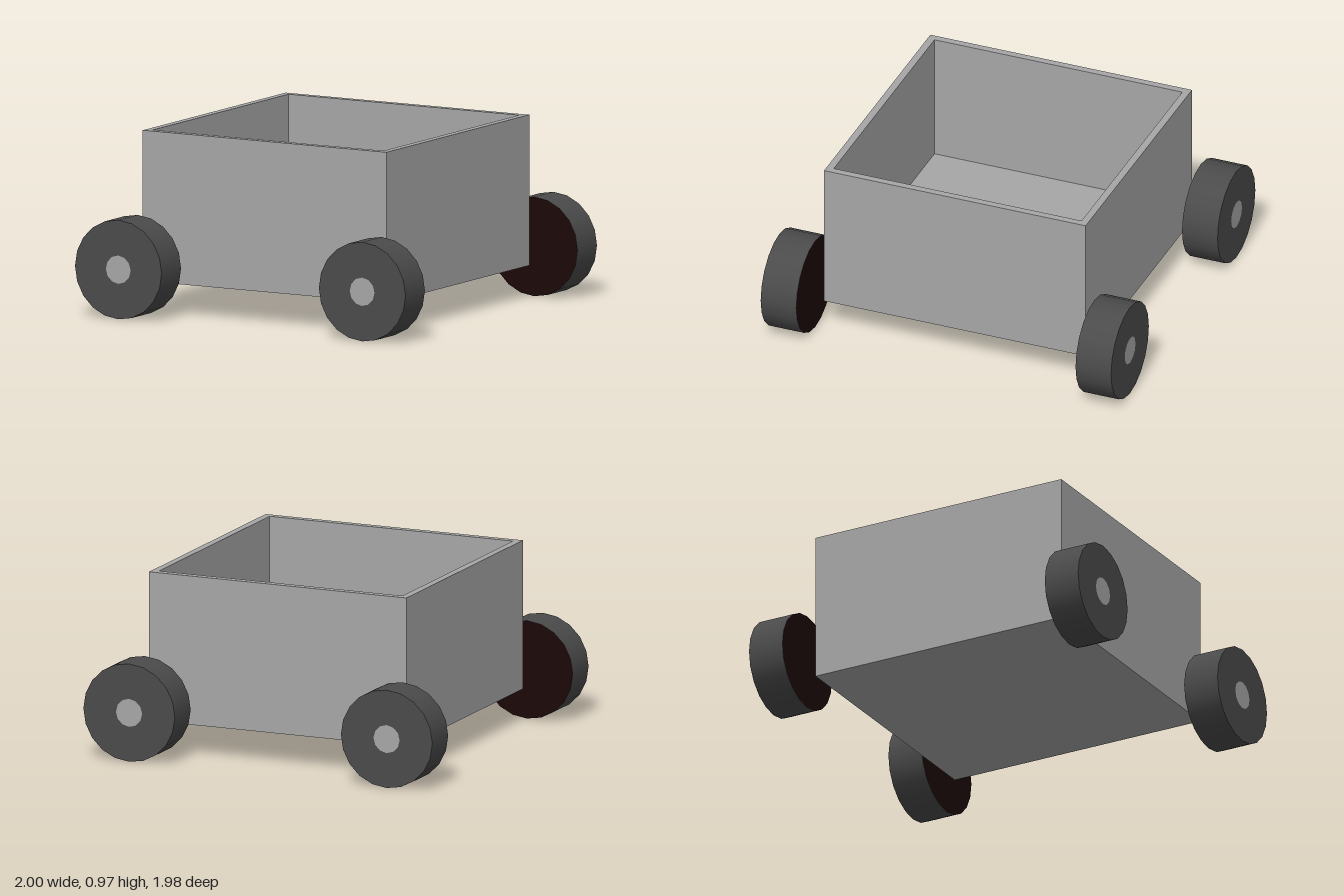
import * as THREE from 'three';

export function createModel() {
  const model = new THREE.Group();
  const grey = new THREE.MeshStandardMaterial({ name: 'body grey', color: 0xa7a7a7 });
  const rubber = new THREE.MeshStandardMaterial({ name: 'tyre charcoal', color: 0x4b4b4b });
  const brown = new THREE.MeshStandardMaterial({ name: 'inner wheel dark brown', color: 0x1c0808 });

  const add = (parent, name, geometry, material, x = 0, y = 0, z = 0) => {
    const mesh = new THREE.Mesh(geometry, material);
    mesh.name = name;
    mesh.position.set(x, y, z);
    parent.add(mesh);
    return mesh;
  };

  // Open-topped tub: a square ring of walls around a thick floor
  const half = 0.737, inner = 0.698, bottom = 0.169, top = 0.965, floor = 0.1;
  const square = (PathType, h) => new PathType().setFromPoints(
    [[-h, -h], [h, -h], [h, h], [-h, h]].map(([x, y]) => new THREE.Vector2(x, y)));
  const outline = square(THREE.Shape, half);
  outline.closePath();
  const opening = square(THREE.Path, inner);
  opening.closePath();
  outline.holes.push(opening);
  const walls = new THREE.ExtrudeGeometry(outline, { depth: top - bottom, bevelEnabled: false });
  walls.rotateX(-Math.PI / 2);
  add(model, 'tubWalls', walls, grey, 0, bottom, 0);
  add(model, 'tubFloor', new THREE.BoxGeometry(inner * 2, floor, inner * 2), grey, 0, bottom + floor / 2, 0);

  // Four wheels, outer face along local +z
  const radius = 0.262, width = 0.2;
  const tyre = new THREE.CylinderGeometry(radius, radius, width, 20).rotateX(Math.PI / 2);
  const hub = new THREE.CircleGeometry(0.075, 12);
  const backing = new THREE.CircleGeometry(radius, 20).rotateY(Math.PI);
  for (const side of [1, -1]) {
    for (const x of [-0.738, 0.738]) {
      const wheel = new THREE.Group();
      wheel.name = (side > 0 ? 'front' : 'back') + (x > 0 ? 'Left' : 'Right') + 'Wheel';
      add(wheel, 'tyre', tyre, rubber);
      add(wheel, 'hub', hub, grey, 0, 0, width / 2 + 0.001);
      add(wheel, 'innerFace', backing, brown, 0, 0, -width / 2 - 0.001);
      wheel.position.set(x, radius, side * 0.887);
      if (side < 0) wheel.rotation.y = Math.PI;
      model.add(wheel);
    }
  }
  return model;
}
